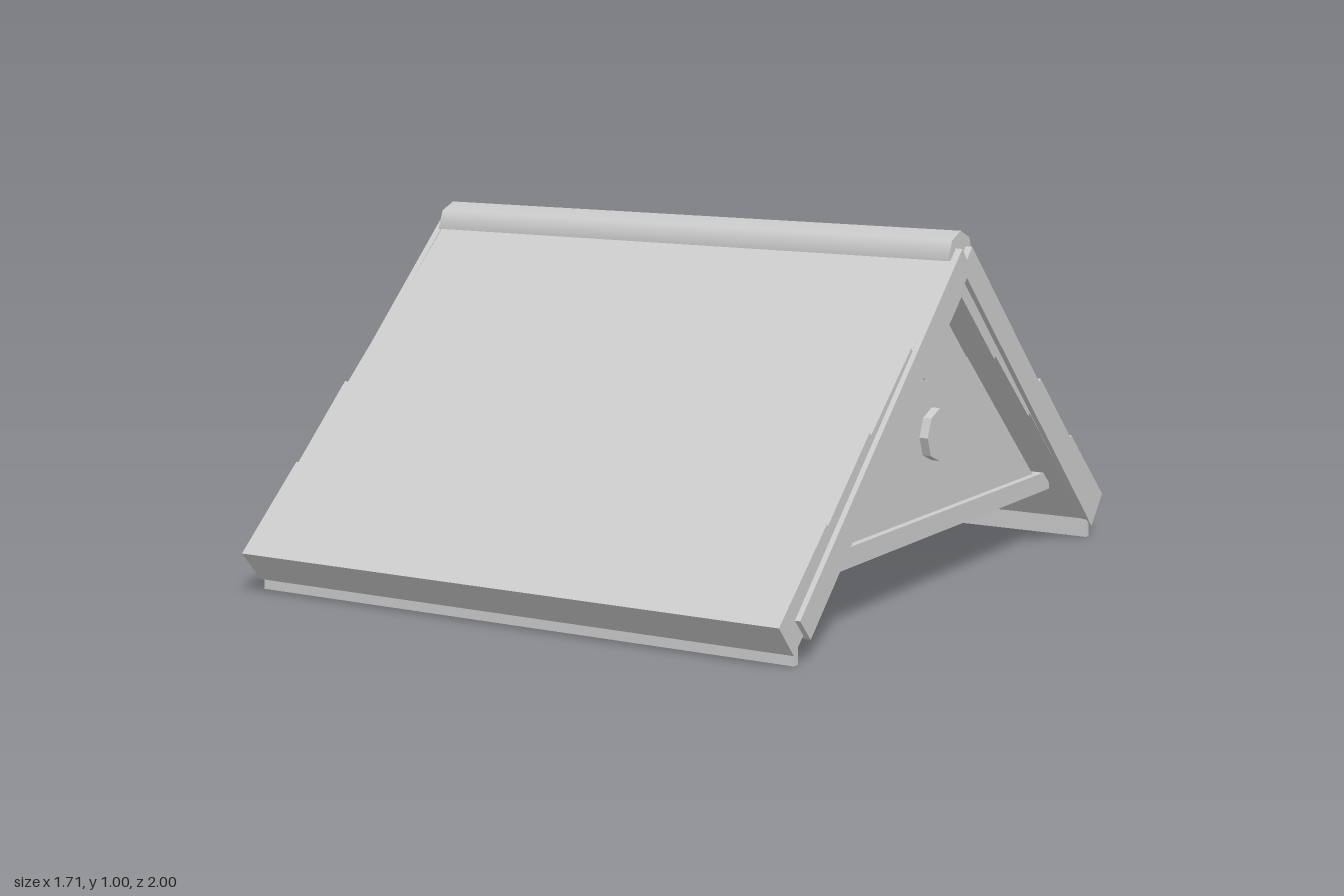
import * as THREE from 'three';

const material = new THREE.MeshStandardMaterial({ color: 0xcccccc, flatShading: true });
const smoothMaterial = new THREE.MeshStandardMaterial({ color: 0xcccccc, side: THREE.DoubleSide });

function addMesh(parent, name, geometry, x = 0, y = 0, z = 0, mat = material) {
  const mesh = new THREE.Mesh(geometry, mat);
  mesh.name = name;
  mesh.position.set(x, y, z);
  parent.add(mesh);
  return mesh;
}

// Board lying on a slope: its top face runs from the low to the high [z, y] point
function slopedBoard(parent, name, low, high, thickness, width, x = 0) {
  const dz = low[0] - high[0], dy = high[1] - low[1];
  const angle = Math.atan2(dy, dz);
  const z = (low[0] + high[0]) / 2 - Math.sin(angle) * thickness / 2;
  const y = (low[1] + high[1]) / 2 - Math.cos(angle) * thickness / 2;
  const board = addMesh(parent, name, new THREE.BoxGeometry(width, thickness, Math.hypot(dz, dy)), x, y, z);
  board.rotation.x = angle;
}

// One slope of the roof, facing +z
function createSlope(name) {
  const slope = new THREE.Group();
  slope.name = name;

  // Planks, each end standing slightly proud of the next plank up
  const planks = [
    [[1.0, 0.115], [0.757, 0.331]],
    [[0.755, 0.322], [0.53, 0.529]],
    [[0.526, 0.517], [0.299, 0.718]],
    [[0.293, 0.709], [0.03, 0.95]],
  ];
  planks.forEach(([low, high], i) => slopedBoard(slope, `roofPlank${i + 1}`, low, high, 0.115, 1.68));

  // Boards covering the plank ends
  for (const side of [-1, 1]) {
    slopedBoard(slope, 'bargeBoard', [0.92, 0.118], [0.03, 0.955], 0.08, 0.02, side * 0.845);
  }

  // Thin drip strip under the eave
  addMesh(slope, 'eaveStrip', new THREE.BoxGeometry(1.67, 0.07, 0.02), 0, 0.035, 0.904);
  return slope;
}

// Triangular end wall with its tie beam and round boss, facing +x
function createGable(name) {
  const gable = new THREE.Group();
  gable.name = name;
  const triangle = new THREE.Shape([
    new THREE.Vector2(-0.72, 0.18),
    new THREE.Vector2(0.72, 0.18),
    new THREE.Vector2(0, 0.82),
  ]);
  const panel = new THREE.ExtrudeGeometry(triangle, { depth: 0.04, bevelEnabled: false });
  panel.rotateY(Math.PI / 2);
  addMesh(gable, 'gablePanel', panel, 0.715);
  addMesh(gable, 'tieBeam', new THREE.BoxGeometry(0.08, 0.055, 1.5), 0.735, 0.1925, 0);

  const boss = new THREE.CylinderGeometry(0.073, 0.073, 0.04, 8);
  boss.rotateZ(-Math.PI / 2);
  addMesh(gable, 'gableBoss', boss, 0.76, 0.44, 0);
  return gable;
}

export function createModel() {
  const model = new THREE.Group();
  model.name = 'gableRoof';

  const backSlope = createSlope('backSlope');
  backSlope.rotation.y = Math.PI;
  model.add(createSlope('frontSlope'), backSlope);

  const rightGable = createGable('rightGable');
  rightGable.rotation.y = Math.PI;
  model.add(createGable('leftGable'), rightGable);

  // Rounded cap along the ridge
  const cap = new THREE.CylinderGeometry(0.075, 0.075, 1.67, 4, 1, false, 0, Math.PI);
  cap.rotateZ(Math.PI / 2);
  addMesh(model, 'ridgeCap', cap, 0, 0.925, 0, smoothMaterial);
  return model;
}
